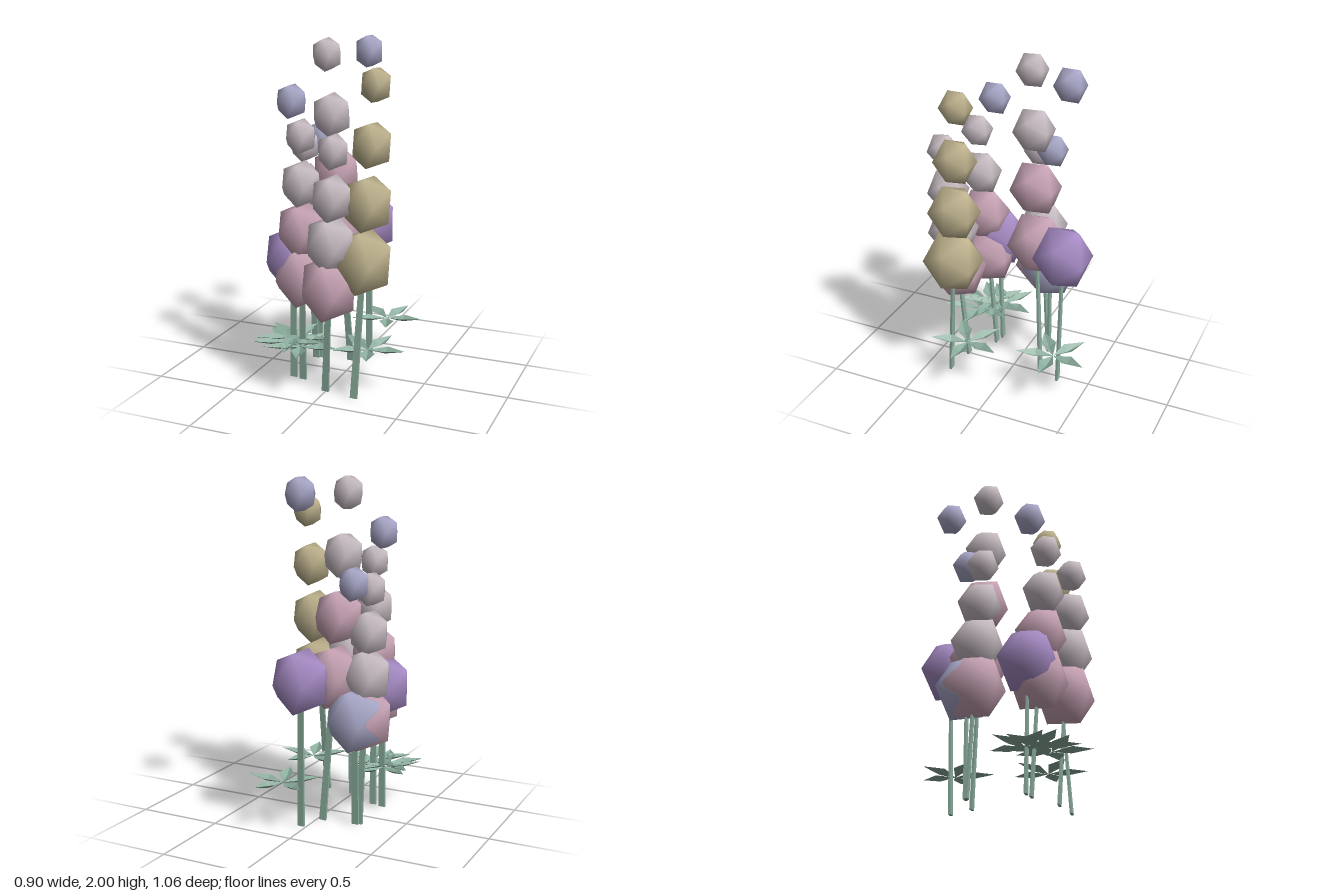
import * as THREE from 'three';
import { mergeVertices } from 'three/addons/utils/BufferGeometryUtils.js';

const mat = (name, color, side = THREE.FrontSide) =>
  Object.assign(new THREE.MeshStandardMaterial({ color, side }), { name });

// Smooth-shaded icosahedral blossom, unit half-width, slightly tall
function blossomGeometry() {
  let g = new THREE.IcosahedronGeometry(1 / 0.8507, 0);
  g.deleteAttribute('normal');
  g.deleteAttribute('uv');
  g = mergeVertices(g);
  g.rotateY(Math.PI / 2);
  g.scale(1, 1.14, 1);
  g.computeVertexNormals();
  return g;
}

// Flat tapered ribbon stem, unit length from the ground up
function stemGeometry() {
  const g = new THREE.CylinderGeometry(0.022, 0.03, 1, 4, 1).toNonIndexed();
  g.rotateY(Math.PI / 4);
  g.scale(1, 1, 0.36);
  g.translate(0, 0.5, 0);
  g.computeVertexNormals();
  return g;
}

// Pointed leaf folded along its keel, growing toward +x
function leafGeometry() {
  const g = new THREE.BufferGeometry();
  const base = [0, 0.25, 0], keel = [0.106, 0.244, 0], tip = [0.226, 0.272, 0];
  const near = [0.106, 0.27, 0.045], far = [0.106, 0.27, -0.045];
  const faces = [base, near, keel, keel, near, tip, base, keel, far, keel, tip, far];
  g.setAttribute('position', new THREE.Float32BufferAttribute(faces.flat(), 3));
  g.computeVertexNormals();
  return g;
}

export function createModel() {
  const model = new THREE.Group();
  model.name = 'flowerSpikes';

  const pink = mat('pink', 0xcaa5b7);
  const grey = mat('pale mauve', 0xcabfc6);
  const lavender = mat('lavender', 0xabaacb);
  const purple = mat('purple', 0xa88dc7);
  const tan = mat('tan', 0xc0b48f);
  const green = mat('leaf green', 0x8cae9e, THREE.DoubleSide);

  const blossom = blossomGeometry(), stem = stemGeometry(), leaf = leafGeometry();
  const sizes = [0.153, 0.131, 0.107, 0.081];

  // lowest and highest blossom centres, then colours from bottom to top
  const spikes = [
    { low: [0.222, 0.804, 0.29], high: [0.264, 1.78, 0.224], colors: [tan, tan, tan, tan] },
    { low: [0.04, 0.647, 0.355], high: [0.09, 1.436, 0.404], colors: [pink, grey, grey, grey] },
    { low: [-0.172, 0.67, 0.25], high: [-0.147, 1.487, 0.302], colors: [pink, pink, grey, grey] },
    { low: [-0.248, 0.755, 0.21], high: [-0.236, 1.667, 0.229], colors: [purple, null, null, lavender] },
    { low: [-0.266, 0.625, -0.088], high: [-0.281, 1.37, -0.042], colors: [pink, grey, grey, grey] },
    { low: [-0.23, 0.63, -0.143], high: [-0.222, 1.407, -0.147], colors: [lavender, null, null, lavender] },
    { low: [-0.083, 0.857, -0.113], high: [-0.14, 1.905, -0.05], colors: [pink, pink, grey, grey] },
    { low: [0.022, 0.863, -0.32], high: [0.01, 1.905, -0.335], colors: [purple, null, null, lavender] },
  ];

  for (const { low, high, colors } of spikes) {
    const a = new THREE.Vector3(...low), b = new THREE.Vector3(...high);
    const dir = b.clone().sub(a);
    const root = a.clone().addScaledVector(dir, -a.y / dir.y);

    // Each spike leans along the line through its blossoms
    const spike = new THREE.Group();
    spike.name = 'flowerSpike';
    spike.position.copy(root);
    spike.quaternion.setFromUnitVectors(new THREE.Vector3(0, 1, 0), dir.clone().normalize());

    const start = a.distanceTo(root), gap = dir.length() / 3;
    const stalk = new THREE.Mesh(stem, green);
    stalk.name = 'stem';
    stalk.scale.y = start;
    spike.add(stalk);

    colors.forEach((color, i) => {
      if (!color) return;
      const m = new THREE.Mesh(blossom, color);
      m.name = 'blossom';
      m.position.y = start + gap * i;
      m.scale.setScalar(sizes[i]);
      spike.add(m);
    });
    model.add(spike);
  }

  // Five-leaf rosettes near the ground
  const rosettes = [[0.144, -0.32], [0.222, 0.21], [-0.265, 0.197], [-0.255, 0.267], [-0.157, 0.314]];
  for (const [x, z] of rosettes) {
    const rosette = new THREE.Group();
    rosette.name = 'leafRosette';
    rosette.position.set(x, 0, z);
    for (let i = 0; i < 5; i++) {
      const m = new THREE.Mesh(leaf, green);
      m.name = 'leaf';
      m.rotation.y = (i * Math.PI * 2) / 5;
      rosette.add(m);
    }
    model.add(rosette);
  }
  return model;
}
